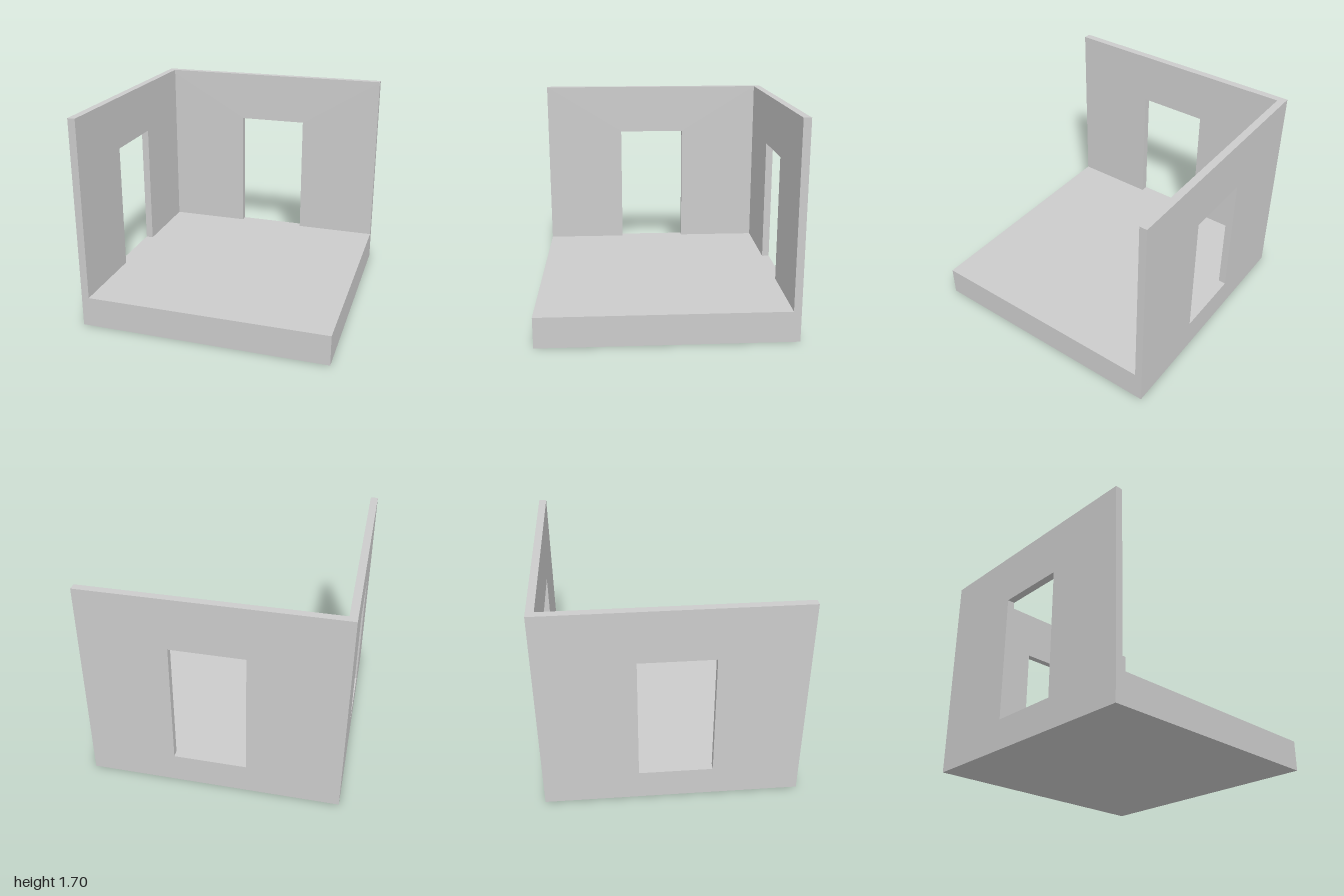
import * as THREE from 'three';

const FLOOR = 0.245, TOP = 1.7, THICK = 0.06;
const DOOR = { from: -0.26, to: 0.317, top: 1.28 };

// Upright wall running from start to 1, with a doorway open down to the floor
function wallGeometry(start) {
  const outline = new THREE.Shape([
    [start, FLOOR], [DOOR.from, FLOOR], [DOOR.from, DOOR.top], [DOOR.to, DOOR.top],
    [DOOR.to, FLOOR], [1, FLOOR], [1, TOP], [start, TOP],
  ].map(([u, y]) => new THREE.Vector2(u, y)));
  return new THREE.ExtrudeGeometry(outline, { depth: THICK, bevelEnabled: false });
}

export function createModel() {
  const group = new THREE.Group();
  group.name = 'roomCorner';
  const material = new THREE.MeshStandardMaterial({ color: 0xcccccc });
  const add = (name, geometry) => {
    const mesh = new THREE.Mesh(geometry, material);
    mesh.name = name;
    group.add(mesh);
  };

  // Thick floor slab
  add('floor', new THREE.BoxGeometry(2, FLOOR, 2).translate(0, FLOOR / 2, 0));

  // Back wall spans the full width; side wall butts against it
  add('backWall', wallGeometry(-1).translate(0, 0, -1));
  add('sideWall', wallGeometry(-1 + THICK).rotateY(-Math.PI / 2).translate(-1 + THICK, 0, 0));

  return group;
}
